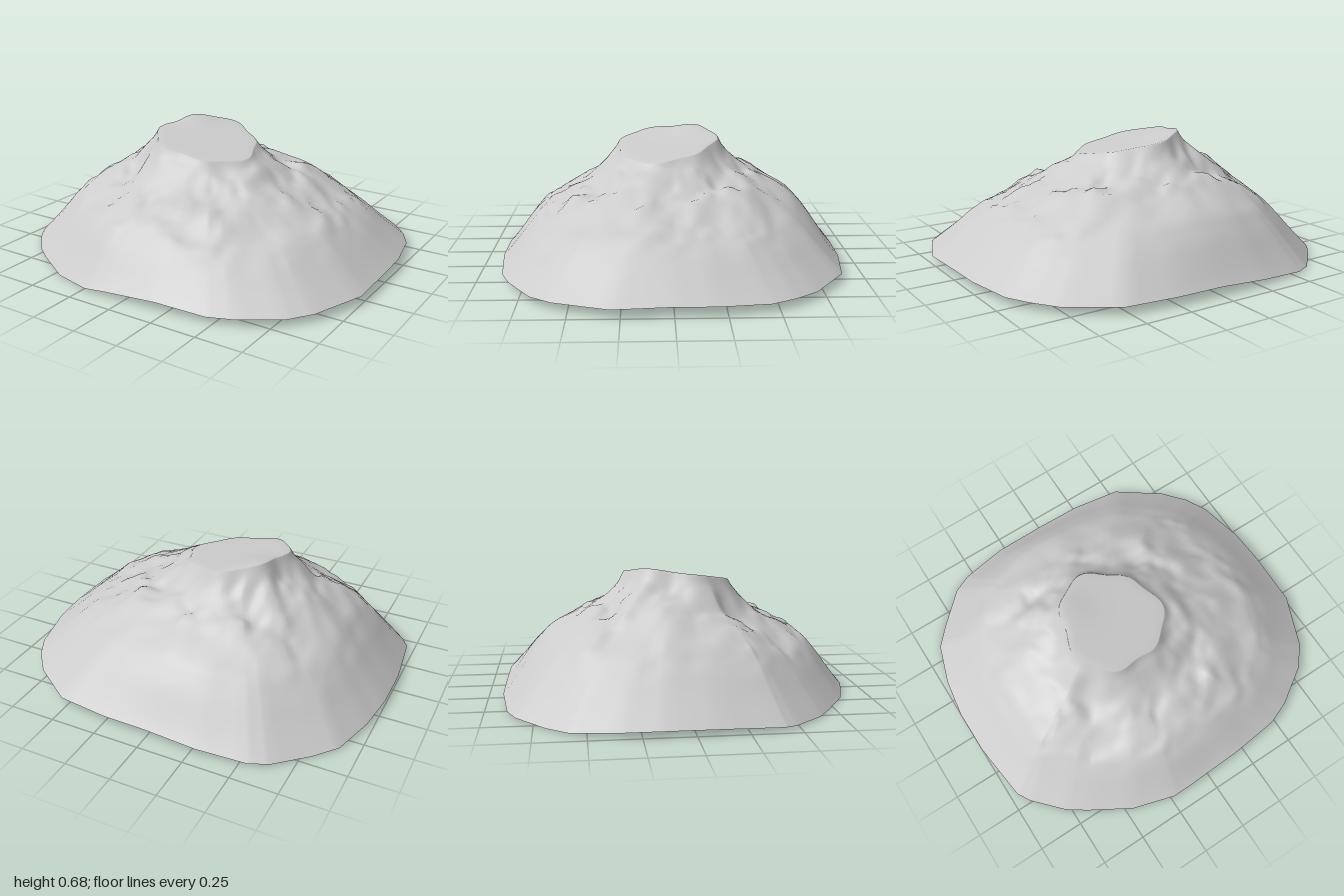
import * as THREE from 'three';

// Rim outline: x, height, z, running back -> +x -> front -> -x
const RIM = [
  [-0.28, 0.03, -0.92], [0.0, 0.045, -0.915], [0.25, 0.045, -0.91], [0.53, 0.04, -0.87],
  [0.77, 0.035, -0.70], [0.87, 0.04, -0.58], [0.935, 0.04, -0.46], [0.99, 0.05, -0.2],
  [1, 0.055, 0], [1, 0.045, 0.3], [0.89, 0.04, 0.58], [0.8, 0.035, 0.69],
  [0.6, 0.035, 0.82], [0.47, 0.035, 0.87], [0.2, 0.05, 0.9], [-0.1, 0.03, 0.91],
  [-0.23, 0.015, 0.91], [-0.46, 0.003, 0.84], [-0.68, 0.005, 0.71], [-0.78, 0.005, 0.64],
  [-0.92, 0.01, 0.49], [-0.96, 0.015, 0.42], [-1, 0.03, 0.1], [-1, 0.03, -0.15],
  [-0.97, 0.02, -0.36], [-0.9, 0.005, -0.58], [-0.8, 0.0, -0.69], [-0.64, 0.007, -0.84],
  [-0.54, 0.01, -0.885],
];
// Slope profile: fraction from summit edge to rim, fraction of height
const PROFILE = new THREE.SplineCurve([
  [0, 1], [0.06, 0.9], [0.2, 0.755], [0.35, 0.66], [0.6, 0.47], [0.72, 0.34], [0.86, 0.165], [1, 0],
].map(([s, h]) => new THREE.Vector2(s, h)));
const SUB = 4, TOP_RINGS = 6, SLOPE_RINGS = 42;
const CENTRE = [-0.07, 0.02];

const smooth = (a, b, x) => THREE.MathUtils.smoothstep(x, a, b);

// Seeded value noise, -1 to 1
function hash(i, j) {
  const v = Math.sin(i * 127.1 + j * 311.7) * 43758.5453;
  return (v - Math.floor(v)) * 2 - 1;
}
function noise(x, z) {
  const i = Math.floor(x), j = Math.floor(z);
  const u = smooth(0, 1, x - i), v = smooth(0, 1, z - j);
  const a = hash(i, j) * (1 - u) + hash(i + 1, j) * u;
  const b = hash(i, j + 1) * (1 - u) + hash(i + 1, j + 1) * u;
  return a * (1 - v) + b * v;
}

// Soft bump at a point
const bump = (x, z, cx, cz, rx, rz) => Math.exp(-(((x - cx) / rx) ** 2) - ((z - cz) / rz) ** 2);

// Tilted summit, highest at the back of the -x side
const summit = (x, z) => 0.6 - 0.17 * x - 0.1 * z + 0.015 * bump(x, z, -0.25, -0.14, 0.12, 0.12);

// Rocky relief on the upper slopes, fading to the smooth skirt
function relief(x, z, s) {
  const rocky = smooth(0, 0.1, s) * (1 - smooth(0.5, 0.85, s)) * (1 - 0.75 * smooth(0.4, 0.65, -z));
  const n = 0.018 * noise(x * 8 + 3, z * 8) + 0.015 * noise(x * 17, z * 17 + 9);
  const shape = 0.03 * bump(x, z, -0.62, -0.08, 0.25, 0.12) // spine on the -x flank
    - 0.05 * bump(x, z, -0.4, 0.34, 0.11, 0.15)             // gully in front of it
    + 0.02 * bump(x, z, 0.42, -0.36, 0.14, 0.14)            // rear shoulder
    + 0.03 * bump(x, z, 0.27, 0.5, 0.05, 0.07)              // crag on the front
    + 0.02 * bump(x, z, 0.3, 0.1, 0.08, 0.15)               // lobe below the summit
    - 0.025 * bump(x, z, -0.45, -0.36, 0.2, 0.06);          // crack behind the spine
  return rocky * (n + shape);
}

// Extra fullness of the skirt along the middle of the front, back and +x sides
function skirt(ang, s) {
  const side = 0.035 * Math.sin(ang) ** 8 + 0.015 * Math.max(0, Math.cos(ang)) ** 8;
  return side * smooth(0.25, 0.7, s) * (1 - smooth(0.75, 1, s));
}

function mountainGeometry() {
  // Resampled rim
  const rim = [];
  RIM.forEach((p, i) => {
    const q = RIM[(i + 1) % RIM.length];
    for (let k = 0; k < SUB; k++) rim.push(p.map((c, a) => c + (q[a] - c) * k / SUB));
  });
  const n = rim.length, rows = TOP_RINGS + SLOPE_RINGS, pos = [], index = [];
  for (let r = 0; r <= rows; r++) {
    const { x: s, y: h } = PROFILE.getPoint(Math.max(0, r - TOP_RINGS) / SLOPE_RINGS);
    for (const [rx, ry, rz] of rim) {
      // Irregular edge of the flat summit
      const ang = Math.atan2(rz - CENTRE[1], rx - CENTRE[0]);
      const er = 0.27 + 0.015 * Math.sin(3 * ang + 0.6) + 0.01 * Math.sin(7 * ang);
      const ex = CENTRE[0] + er * Math.cos(ang), ez = CENTRE[1] + er * Math.sin(ang);
      if (r <= TOP_RINGS) {
        const t = r / TOP_RINGS;
        const x = CENTRE[0] + (ex - CENTRE[0]) * t, z = CENTRE[1] + (ez - CENTRE[1]) * t;
        pos.push(x, summit(x, z), z);
      } else {
        const x = ex + (rx - ex) * s, z = ez + (rz - ez) * s;
        pos.push(x, ry + (summit(ex, ez) - ry) * h + skirt(ang, s) + relief(x, z, s), z);
      }
    }
  }
  for (let r = 0; r < rows; r++) {
    for (let i = 0; i < n; i++) {
      const j = (i + 1) % n, a = r * n + i, b = r * n + j, c = a + n, d = b + n;
      if (r > 0) index.push(a, b, d);
      index.push(a, d, c);
    }
  }
  const geo = new THREE.BufferGeometry();
  geo.setAttribute('position', new THREE.Float32BufferAttribute(pos, 3));
  geo.setIndex(index);
  geo.computeVertexNormals();
  return geo;
}

export function createModel() {
  const group = new THREE.Group();
  group.name = 'mountain';
  // Open shell, seen from above and below
  const shell = new THREE.Mesh(
    mountainGeometry(),
    new THREE.MeshStandardMaterial({ color: 0xcccccc, side: THREE.DoubleSide })
  );
  shell.name = 'mountainSurface';
  group.add(shell);
  return group;
}
